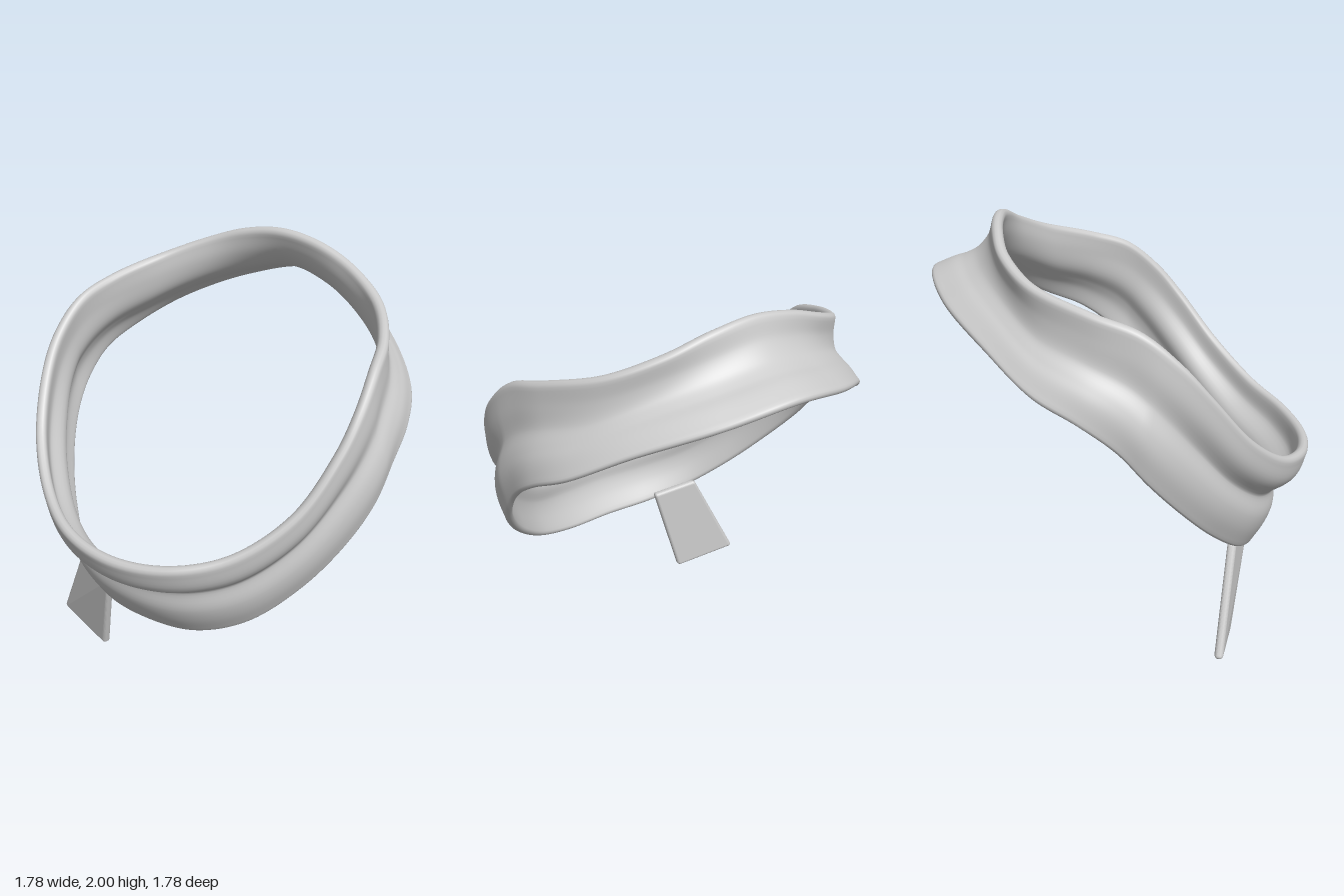
import * as THREE from 'three';
import { RoundedBoxGeometry } from 'three/addons/geometries/RoundedBoxGeometry.js';

const V = (x, y, z) => new THREE.Vector3(x, y, z);

// Closed smooth curve from half its points (front middle, round the +x side, to back middle)
function mirroredLoop(half) {
  const points = half.map(p => V(...p));
  for (let i = half.length - 2; i > 0; i--) points.push(V(-half[i][0], half[i][1], half[i][2]));
  return new THREE.CatmullRomCurve3(points, true, 'centripetal');
}

// Upper and lower edges of the band
const upperEdge = mirroredLoop([
  [0, 0.895, 0.865], [0.27, 0.915, 0.815], [0.5, 0.98, 0.68], [0.69, 1.15, 0.5],
  [0.785, 1.38, 0.32], [0.807, 1.53, 0.19], [0.79, 1.66, 0.03], [0.74, 1.725, -0.16],
  [0.6, 1.8, -0.39], [0.4, 1.885, -0.52], [0.2, 1.95, -0.565], [0, 1.977, -0.575]]);
const lowerEdge = mirroredLoop([
  [0, 0.45, 0.625], [0.25, 0.465, 0.595], [0.47, 0.55, 0.505], [0.65, 0.71, 0.36],
  [0.775, 0.89, 0.21], [0.845, 1.06, 0.07], [0.86, 1.215, -0.06], [0.85, 1.335, -0.22],
  [0.78, 1.425, -0.4], [0.59, 1.56, -0.595], [0.3, 1.68, -0.79], [0, 1.745, -0.87]]);

// Outward swell of the band across its width: [fraction, at front, at side, at back]
const SWELL = [
  [0, 0, 0, 0], [0.2, 0.014, 0, -0.048], [0.44, -0.045, -0.012, -0.064],
  [0.63, -0.004, 0.018, -0.05], [0.78, 0.006, 0.024, -0.026], [1, 0, 0, 0]];

function bandGeometry(around = 192, across = 28, cap = 6) {
  const positions = [], index = [];
  for (let i = 0; i < around; i++) {
    const u = i / around;
    const top = upperEdge.getPoint(u), bottom = lowerEdge.getPoint(u);
    const along = upperEdge.getTangent(u).add(lowerEdge.getTangent(u)).normalize();
    const out = bottom.clone().sub(top).cross(along).normalize();
    const c = Math.cos(2 * Math.PI * u);
    const middle = new THREE.CatmullRomCurve3(SWELL.map(([t, front, side, back]) =>
      top.clone().lerp(bottom, t).addScaledVector(out,
        Math.max(c, 0) * front + (1 - Math.abs(c)) * side + Math.max(-c, 0) * back)));

    // One rounded strip outline: outer face down, lower rim, inner face up, upper rim
    const add = (t, angle) => {
      const dir = middle.getTangent(t);
      const normal = dir.clone().cross(along).normalize();
      const r = 0.026 - 0.007 * t;
      const p = middle.getPoint(t)
        .addScaledVector(normal, r * Math.cos(angle))
        .addScaledVector(dir, r * Math.sin(angle));
      positions.push(p.x, p.y, p.z);
    };
    for (let j = 0; j <= across; j++) add(j / across, 0);
    for (let k = 1; k < cap; k++) add(1, Math.PI * k / cap);
    for (let j = across; j >= 0; j--) add(j / across, Math.PI);
    for (let k = 1; k < cap; k++) add(0, Math.PI * (1 + k / cap));
  }
  const ring = positions.length / 3 / around;
  for (let i = 0; i < around; i++) {
    for (let j = 0; j < ring; j++) {
      const i2 = (i + 1) % around, j2 = (j + 1) % ring;
      const a = i * ring + j, b = i * ring + j2, d = i2 * ring + j, e = i2 * ring + j2;
      index.push(a, b, d, b, e, d);
    }
  }
  const geometry = new THREE.BufferGeometry();
  geometry.setAttribute('position', new THREE.Float32BufferAttribute(positions, 3));
  geometry.setIndex(index);
  geometry.computeVertexNormals();
  return geometry;
}

// Flared flat tab: a rounded slab mapped onto four corners
function tabGeometry() {
  const lowLeft = V(-0.715, 0.066, 0.402), lowRight = V(-0.38, 0.003, 0.485);
  const highLeft = V(-0.485, 0.56, 0.475), highRight = V(-0.265, 0.5, 0.56);
  const normal = lowRight.clone().sub(lowLeft).cross(highLeft.clone().sub(lowLeft)).normalize();
  const geometry = new RoundedBoxGeometry(0.3, 0.5, 0.042, 4, 0.018);
  const pos = geometry.attributes.position;
  for (let i = 0; i < pos.count; i++) {
    const s = pos.getX(i) / 0.3 + 0.5, t = pos.getY(i) / 0.5 + 0.5;
    const p = lowLeft.clone().lerp(lowRight, s)
      .lerp(highLeft.clone().lerp(highRight, s), t)
      .addScaledVector(normal, pos.getZ(i));
    pos.setXYZ(i, p.x, p.y, p.z);
  }
  geometry.computeVertexNormals();
  return geometry;
}

export function createModel() {
  const group = new THREE.Group();
  group.name = 'neckBand';
  const material = new THREE.MeshStandardMaterial({ color: 0xcccccc });
  const addPart = (name, geometry) => {
    const mesh = new THREE.Mesh(geometry, material);
    mesh.name = name;
    group.add(mesh);
  };
  addPart('band', bandGeometry());
  addPart('hangingTab', tabGeometry());
  return group;
}
